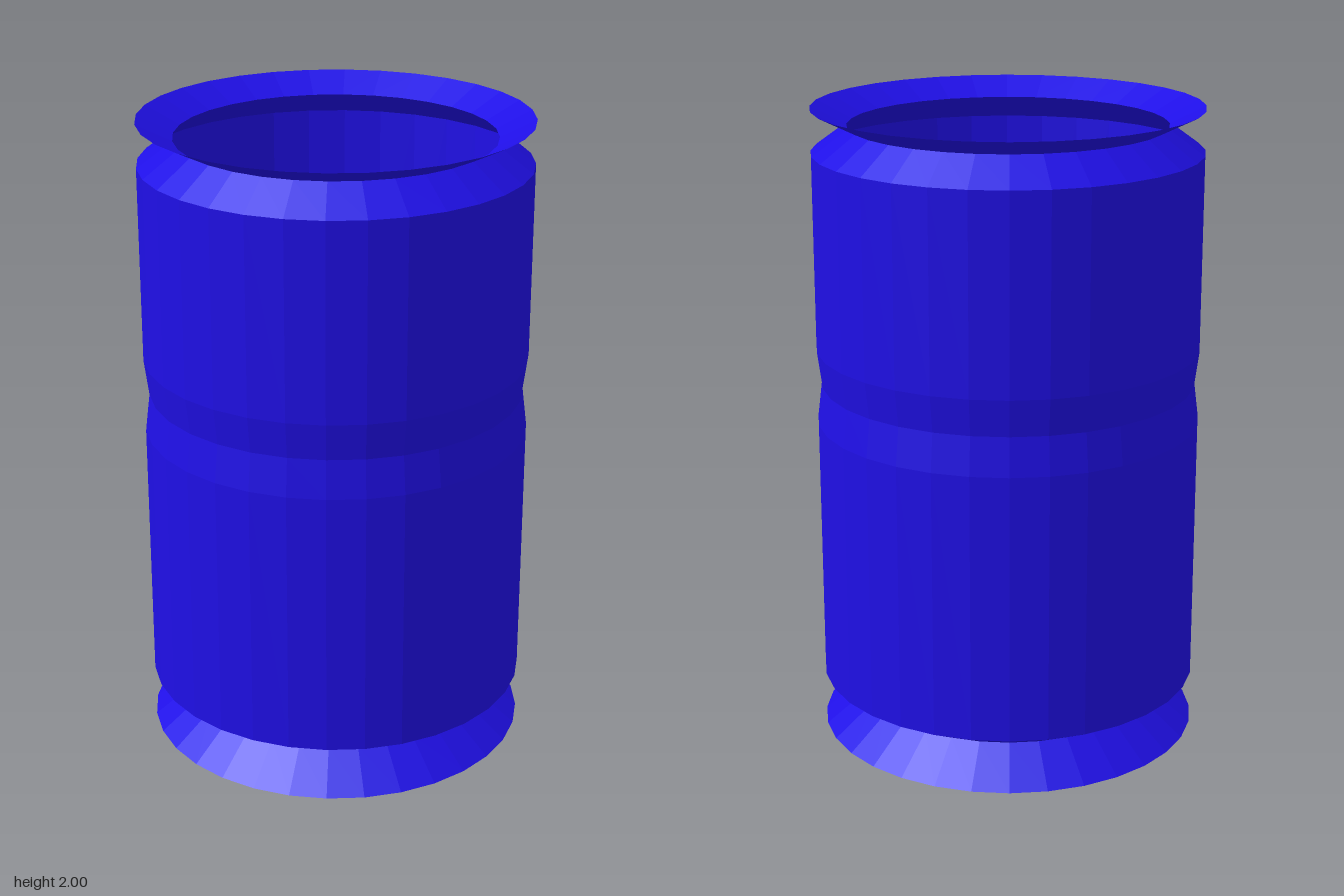
import * as THREE from 'three';

const SIDES = 32;

export function createModel() {
  const model = new THREE.Group();
  model.name = 'canister';
  const material = new THREE.MeshStandardMaterial({
    color: 0x1f0fe6, flatShading: true, side: THREE.DoubleSide,
  });

  // Thin turned shell from [radius, height] pairs, bottom to top
  const turn = (name, profile) => {
    const points = profile.map(([r, y]) => new THREE.Vector2(r, y));
    const mesh = new THREE.Mesh(new THREE.LatheGeometry(points, SIDES), material);
    mesh.name = name;
    model.add(mesh);
  };

  // Closed floor
  const floor = new THREE.Mesh(new THREE.CircleGeometry(0.6, SIDES), material);
  floor.name = 'floor';
  floor.rotation.x = Math.PI / 2;
  model.add(floor);

  // Flared foot up to the lower neck
  turn('foot', [[0.6, 0], [0.47, 0.105]]);

  // Wall with lower and upper shoulders and a shallow waist
  turn('wall', [
    [0.47, 0.105], [0.6, 0.175], [0.6, 1.02], [0.585, 1.14],
    [0.6, 1.255], [0.6, 1.865], [0.49, 1.945],
  ]);

  // Flared open rim
  turn('rim', [[0.49, 1.945], [0.6, 2]]);

  return model;
}
